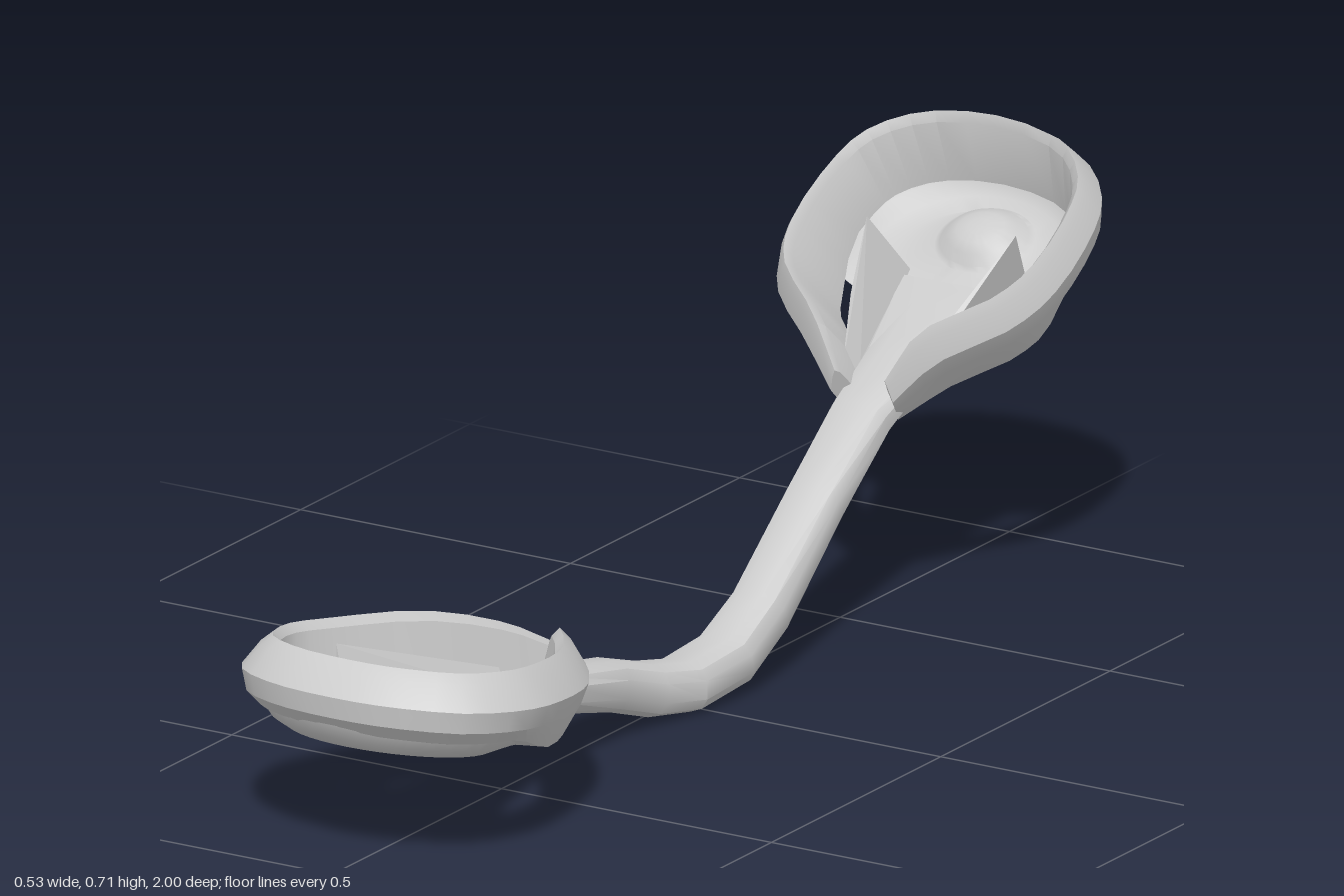
import * as THREE from 'three';
import { toCreasedNormals } from 'three/addons/utils/BufferGeometryUtils.js';
import { ConvexGeometry } from 'three/addons/geometries/ConvexGeometry.js';

const { lerp, smoothstep } = THREE.MathUtils;
const grey = new THREE.MeshStandardMaterial({ color: 0xcccccc });
const greyThin = new THREE.MeshStandardMaterial({ color: 0xcccccc, side: THREE.DoubleSide });

function named(name, geometry, material = grey) {
  const mesh = new THREE.Mesh(geometry, material);
  mesh.name = name;
  return mesh;
}

// Skin a list of closed rings (equal point counts), optionally capping both ends
function loft(rings, caps, crease) {
  const n = rings[0].length;
  const index = [];
  for (let i = 0; i < rings.length - 1; i++) {
    for (let j = 0; j < n; j++) {
      const k = (j + 1) % n;
      const a = i * n + j, b = i * n + k, c = (i + 1) * n + k, d = (i + 1) * n + j;
      index.push(a, b, c, a, c, d);
    }
  }
  if (caps) {
    const last = (rings.length - 1) * n;
    for (let j = 1; j < n - 1; j++) {
      index.push(0, j + 1, j, last, last + j, last + j + 1);
    }
  }
  const geometry = new THREE.BufferGeometry();
  geometry.setAttribute('position', new THREE.Float32BufferAttribute(rings.flat(2), 3));
  geometry.setIndex(index);
  return toCreasedNormals(geometry, crease);
}

// Rim band: a bevelled section swept along an outline of [x, z, drop];
// it is deeper beside the neck, and thinner where it drops onto the stem
function rimBand(outline, bevel, bowlZ) {
  const curve = new THREE.CatmullRomCurve3(
    outline.map(([x, z, drop = 0]) => new THREE.Vector3(x, -drop, z)), false, 'centripetal');
  const rings = [];
  for (let i = 0; i <= 36; i++) {
    const p = curve.getPoint(i / 36);
    const t = curve.getTangent(i / 36);
    const len = Math.hypot(t.x, t.z);
    const thin = 1 + 6 * Math.min(p.y, 0);
    const round = smoothstep(p.z, bowlZ - 0.16, bowlZ);
    // [outward offset, height], going up the outside and down the sloping inside
    const section = [[-0.035, lerp(-0.143, -0.112, round)], [-0.01, -0.09], [0, -0.055],
      [-bevel * 0.6, -0.016], [-bevel, 0], [-bevel - 0.012, -0.014],
      [lerp(-0.08, -0.062, round), lerp(-0.146, -0.118, round)]];
    rings.push(section.map(([o, h]) => [
      p.x + (o * thin * t.z) / len, p.y + h * thin, p.z - (o * thin * t.x) / len]));
  }
  return loft(rings, true, 0.5);
}

// Dish: oval bowl with a raised boss; its stem side stays at floor level
function dish({ x, z, rx, rz, bossX, bossZ }) {
  const profile = [[1, -0.062], [0.93, -0.097], [0.82, -0.128], [0.7, -0.143], [0.55, -0.148]];
  const boss = [[0.085, -0.148], [0.075, -0.143], [0.06, -0.128], [0.04, -0.119],
    [0.02, -0.115], [0.0005, -0.114]];
  const sides = 40;
  const angles = Array.from({ length: sides }, (_, j) => (j / sides) * Math.PI * 2);
  const rings = profile.map(([r, y]) => angles.map((a) => {
    const back = smoothstep(-Math.sin(a), 0.1, 0.85);
    return [
      x + rx * r * Math.cos(a),
      lerp(y, -0.147, back),
      z + rz * r * Math.sin(a) * (1 - 0.3 * back),
    ];
  }));
  for (const [r, y] of boss) {
    rings.push(angles.map((a) => [bossX + r * Math.cos(a), y, bossZ + r * 0.85 * Math.sin(a)]));
  }
  return loft(rings, false, 0.7);
}

// Fin: a tapered web rising from the stem to a sharp tip above the dish floor
function fin(x0, z0, x1, z1) {
  const s = Math.sign(x1 - x0);
  const v = (x, y, z) => new THREE.Vector3(x, y, z);
  return new ConvexGeometry([
    v(x0, -0.14, z0), v(x0, -0.09, z0), v(x0 - s * 0.02, -0.13, z0),
    v(x1, -0.028, z1),
    v(x1 - s * 0.012, -0.145, z1), v(x1 - s * 0.04, -0.145, z1 + 0.01),
    v((x0 + x1) / 2 + s * 0.008, -0.062, (z0 + z1) / 2),
  ]);
}

// A cup lies with its rim in the local plane y = 0 and its axis along local +z
function cup(name, { outline, bevel, bowl, fins }) {
  const group = new THREE.Group();
  group.name = name;
  group.add(named('rimBand', rimBand(outline, bevel, bowl.z)));
  group.add(named('dish', dish(bowl), greyThin));
  fins.forEach((f) => group.add(named('fin', fin(...f))));
  return group;
}

// Stem: rounded bar whose ends flatten and flare into the dishes
function stem() {
  // [x, y, z, half width, half height]
  const stations = [
    [0, 0.171, 0.77, 0.115, 0.008],
    [0, 0.162, 0.68, 0.08, 0.018],
    [0, 0.15, 0.54, 0.06, 0.026],
    [0, 0.13, 0.38, 0.052, 0.036],
    [0, 0.088, 0.2, 0.05, 0.042],
    [0.008, 0.054, 0.1, 0.052, 0.043],
    [0.03, 0.042, 0.02, 0.052, 0.042],
    [0.038, 0.054, -0.1, 0.053, 0.043],
    [0.04, 0.105, -0.2, 0.05, 0.043],
    [0.035, 0.235, -0.37, 0.05, 0.038],
    [0.032, 0.335, -0.51, 0.052, 0.035],
    [0.027, 0.39, -0.63, 0.065, 0.026],
    [0.022, 0.443, -0.75, 0.1, 0.014],
    [0.02, 0.466, -0.8, 0.125, 0.008],
  ];
  const sides = 12;
  const soft = (c) => Math.sign(c) * Math.abs(c) ** 0.75;
  const rings = stations.map(([x, y, z, w, h], i) => {
    const a = stations[Math.max(i - 1, 0)], b = stations[Math.min(i + 1, stations.length - 1)];
    const dy = b[1] - a[1], dz = b[2] - a[2], len = Math.hypot(dy, dz);
    return Array.from({ length: sides }, (_, j) => {
      const t = ((j + 0.5) / sides) * Math.PI * 2;
      const up = -h * soft(Math.sin(t));
      return [x + w * soft(Math.cos(t)), y - (up * dz) / len, z + (up * dy) / len];
    });
  });
  return loft(rings, true, 0.6);
}

export function createModel() {
  const model = new THREE.Group();
  model.name = 'doubleEndedHolder';
  model.add(named('stem', stem()));

  const front = cup('frontCup', {
    outline: [[0.06, 0.38, 0.06], [0.11, 0.43], [0.2, 0.56], [0.243, 0.7], [0.25, 0.82],
      [0.205, 0.93], [0.1, 0.99], [0, 1.003], [-0.12, 0.985], [-0.22, 0.92], [-0.262, 0.8],
      [-0.24, 0.68], [-0.17, 0.5], [-0.1, 0.35, 0.03], [-0.06, 0.28, 0.06]],
    bevel: 0.045,
    bowl: { x: -0.005, z: 0.81, rx: 0.245, rz: 0.184, bossX: -0.02, bossZ: 0.845 },
    fins: [[0.05, 0.42, 0.14, 0.745], [-0.05, 0.42, -0.155, 0.745]],
  });
  front.position.y = 0.2;
  front.rotation.x = -0.148;
  model.add(front);

  const rear = cup('rearCup', {
    outline: [[0.025, 0.53, 0.06], [0.09, 0.585], [0.195, 0.68], [0.23, 0.76], [0.235, 0.9],
      [0.21, 1.0], [0.13, 1.07], [-0.01, 1.097], [-0.16, 1.065], [-0.235, 0.99], [-0.26, 0.9],
      [-0.26, 0.77], [-0.23, 0.69], [-0.145, 0.585], [-0.09, 0.53, 0.06]],
    bevel: 0.025,
    bowl: { x: -0.012, z: 0.895, rx: 0.24, rz: 0.192, bossX: -0.018, bossZ: 0.94 },
    fins: [[0.025, 0.57, 0.11, 0.84], [-0.085, 0.57, -0.155, 0.86]],
  });
  rear.position.y = 0.203;
  rear.rotation.set(-0.49, Math.PI, 0, 'YXZ');
  model.add(rear);

  return model;
}
